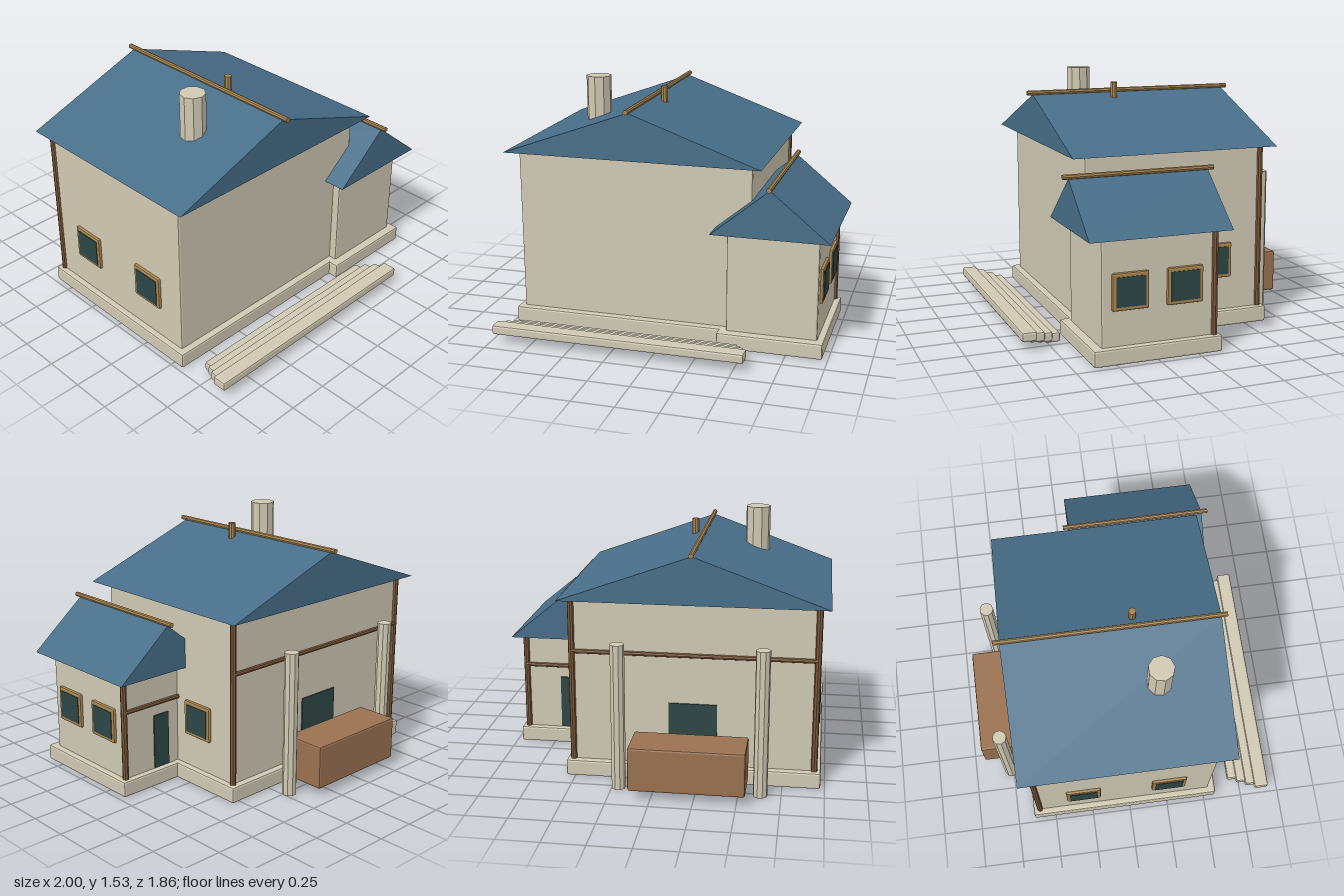
import * as THREE from 'three';
import { RoundedBoxGeometry } from 'three/addons/geometries/RoundedBoxGeometry.js';

const mat = (name, color) => {
  const m = new THREE.MeshStandardMaterial({ color, flatShading: true });
  m.name = name;
  return m;
};

export function createModel() {
  const plaster = mat('plaster', 0xd0c9b3);
  const slate = mat('roof blue', 0x486e89);
  const goldWood = mat('golden wood', 0xa9854f);
  const darkWood = mat('dark wood', 0x7c593a);
  const crateWood = mat('crate wood', 0x9a7150);
  const glass = mat('dark glass', 0x2d4645);

  const house = new THREE.Group();
  house.name = 'house';

  const add = (name, geometry, material, x = 0, y = 0, z = 0, parent = house) => {
    const mesh = new THREE.Mesh(geometry, material);
    mesh.name = name;
    mesh.position.set(x, y, z);
    parent.add(mesh);
    return mesh;
  };

  // Box with chamfered edges, given by its extents
  const block = (name, material, [x0, x1], [y0, y1], [z0, z1], bevel = 0.012) =>
    add(name, new RoundedBoxGeometry(x1 - x0, y1 - y0, z1 - z0, 1, bevel).toNonIndexed(), material,
      (x0 + x1) / 2, (y0 + y1) / 2, (z0 + z1) / 2);

  // Upright round member from y0 to y1
  const pillar = (name, material, x, z, r, y0, y1, sides = 9) =>
    add(name, new THREE.CylinderGeometry(r, r, y1 - y0, sides), material, x, (y0 + y1) / 2, z);

  // Solid gable roof with a round ridge pole
  const roof = (name, [x0, x1], y0, y1, [z0, z1]) => {
    const mid = (x0 + x1) / 2;
    const gable = new THREE.Shape([
      new THREE.Vector2(x0, y0), new THREE.Vector2(x1, y0), new THREE.Vector2(mid, y1),
    ]);
    add(name, new THREE.ExtrudeGeometry(gable, { depth: z1 - z0, bevelEnabled: false }), slate, 0, 0, z0);
    const pole = add(name + 'RidgePole', new THREE.CylinderGeometry(0.015, 0.015, z1 - z0 + 0.07, 8),
      goldWood, mid, y1 + 0.01, (z0 + z1) / 2);
    pole.rotation.x = Math.PI / 2;
  };

  // Framed window on a side wall; side is +1 (left) or -1 (right)
  const sideWindow = (wallX, z, side) => {
    const win = new THREE.Group();
    win.name = 'window';
    win.position.set(wallX, 0.413, z);
    house.add(win);
    add('windowFrame', new RoundedBoxGeometry(0.036, 0.217, 0.22, 1, 0.01).toNonIndexed(), goldWood, 0, 0, 0, win);
    add('windowPane', new THREE.BoxGeometry(0.008, 0.172, 0.176), glass, side * 0.018, 0, 0, win);
  };

  // Round tie beam along the back wall
  const tieBeam = (x0, x1, y, z) => {
    const beam = add('backBeam', new THREE.CylinderGeometry(0.014, 0.014, x1 - x0, 8), darkWood, (x0 + x1) / 2, y, z);
    beam.rotation.z = Math.PI / 2;
  };

  // Plinths
  block('mainPlinth', plaster, [-0.975, 0.555], [0, 0.1], [-0.64, 0.575]);
  block('wingPlinth', plaster, [0.33, 0.967], [0, 0.098], [-0.145, 0.635]);

  // Walls
  block('mainWalls', plaster, [-0.937, 0.517], [0.08, 1.115], [-0.598, 0.53]);
  block('wingWalls', plaster, [0.378, 0.927], [0.08, 0.73], [-0.107, 0.58]);

  // Roofs
  roof('mainRoof', [-1, 0.585], 1.107, 1.393, [-0.677, 0.62]);
  roof('wingRoof', [0.295, 1], 0.72, 1.01, [-0.187, 0.67]);

  // Chimney and small roof post
  pillar('chimney', plaster, -0.525, 0.215, 0.077, 1.15, 1.53);
  pillar('roofPost', goldWood, -0.14, 0.105, 0.022, 1.34, 1.46, 8);

  // Corner posts and beams on the back
  for (const x of [-0.935, 0.515]) pillar('cornerPost', darkWood, x, -0.598, 0.019, 0.09, 1.108, 8);
  pillar('wingCornerPost', darkWood, 0.926, -0.107, 0.019, 0.09, 0.722, 8);
  tieBeam(-0.935, 0.515, 0.785, -0.605);
  tieBeam(0.515, 0.926, 0.52, -0.114);

  // Back doors
  add('mainDoor', new THREE.BoxGeometry(0.29, 0.385, 0.009), glass, -0.21, 0.293, -0.601);
  add('wingDoor', new THREE.BoxGeometry(0.112, 0.34, 0.009), glass, 0.65, 0.272, -0.11);

  // Windows on both sides
  for (const z of [0.41, 0.08]) sideWindow(0.927, z, 1);
  sideWindow(0.517, -0.3, 1);
  for (const z of [0.25, -0.3]) sideWindow(-0.937, z, -1);

  // Long front steps, rising and widening outward
  for (let i = 0; i < 4; i++) {
    const half = 0.683 + i * 0.03, y = 0.005 + i * 0.0175, z = 0.68 + i * 0.055;
    block('step', plaster, [-0.207 - half, -0.207 + half], [y, y + 0.058], [z - 0.005, z + 0.085]);
  }

  // Crate between two free-standing columns at the back
  block('crate', crateWood, [-0.55, 0.13], [0.055, 0.323], [-0.932, -0.665]);
  for (const x of [-0.628, 0.21]) pillar('column', plaster, x, -0.765, 0.043, 0, 0.89);

  return house;
}
